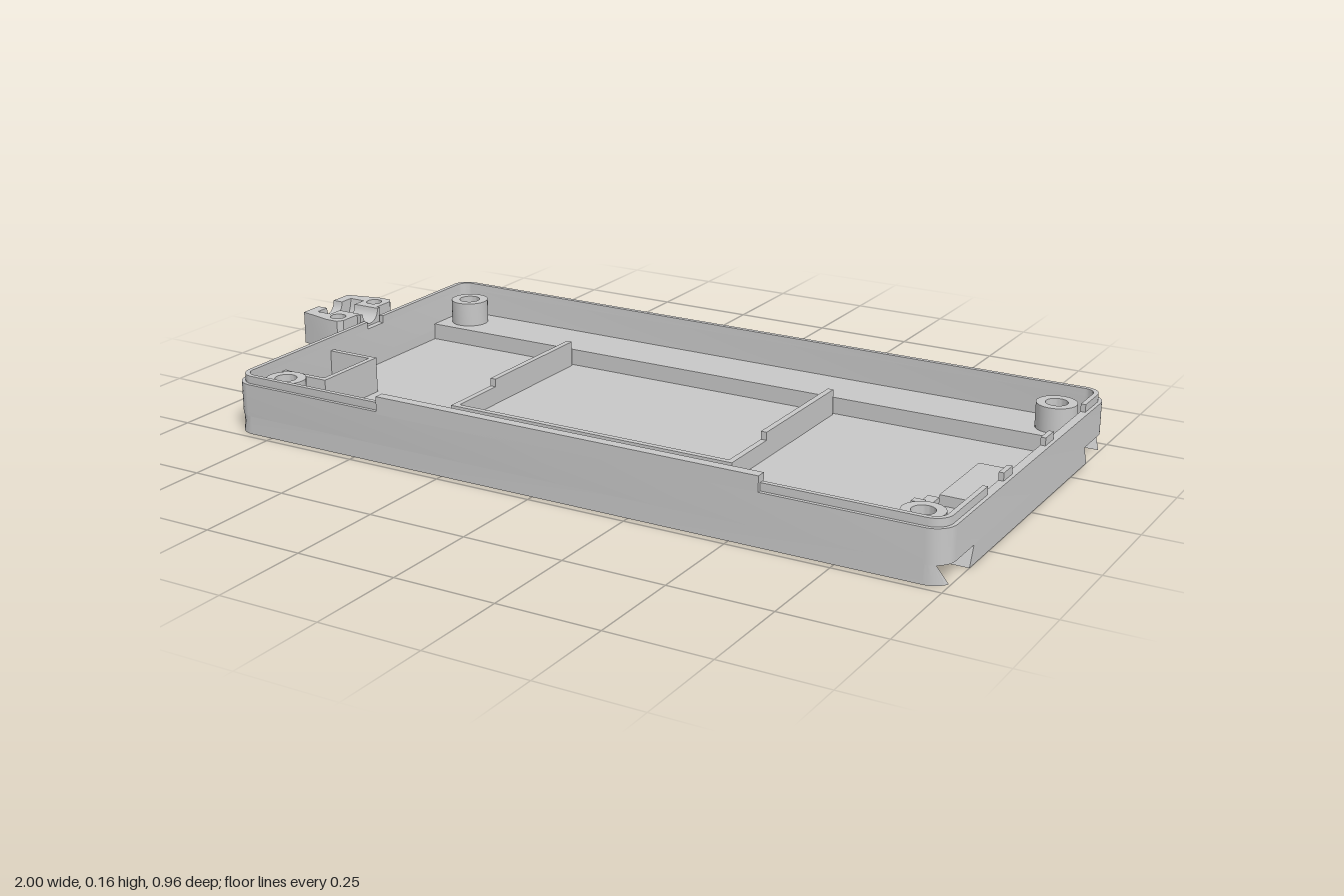
import * as THREE from 'three';
import { toCreasedNormals } from 'three/addons/utils/BufferGeometryUtils.js';

const X0 = -0.86, X1 = 1, CX = 0.07, W = 0.93, D = 0.482, R = 0.05;

export function createModel() {
  const root = new THREE.Group();
  const grey = new THREE.MeshStandardMaterial({ color: 0xc8c8c8 });
  grey.name = 'plasticGrey';

  const add = (name, geo, parent = root) => {
    const m = new THREE.Mesh(geo, grey);
    m.name = name;
    parent.add(m);
    return m;
  };
  const box = (name, x0, x1, y0, y1, z0, z1, parent) =>
    add(name, new THREE.BoxGeometry(x1 - x0, y1 - y0, z1 - z0)
      .translate((x0 + x1) / 2, (y0 + y1) / 2, (z0 + z1) / 2), parent);
  const v2 = ([x, z]) => new THREE.Vector2(x, -z);
  // Plan outline [x, z] pulled up from y0 to y1; holes wind against the outline
  const plan = (name, pts, holes, y0, y1, parent) => {
    const s = new THREE.Shape(pts.map(v2));
    s.holes = holes.map(h => new THREE.Path(h.map(v2).reverse()));
    const g = new THREE.ExtrudeGeometry(s, { depth: y1 - y0, bevelEnabled: false });
    return add(name, toCreasedNormals(g.rotateX(-Math.PI / 2).translate(0, y0, 0), 0.6), parent);
  };
  // Side profile [z, y] swept along x
  const sweep = (name, pts, x0, x1, parent) => {
    const s = new THREE.Shape(pts.map(([z, y]) => new THREE.Vector2(-z, y)));
    const g = new THREE.ExtrudeGeometry(s, { depth: x1 - x0, bevelEnabled: false });
    return add(name, toCreasedNormals(g.rotateY(Math.PI / 2).translate(x0, 0, 0), 0.6), parent);
  };
  const circle = (x, z, r, n = 28) => Array.from({ length: n }, (_, i) => {
    const a = i / n * Math.PI * 2;
    return [x + r * Math.cos(a), z + r * Math.sin(a)];
  });
  const rect = (x0, x1, z0, z1) => [[x0, z0], [x1, z0], [x1, z1], [x0, z1]];
  // Corners first..last of the rounded outline: 0 right front, 1 left front, 2 left back, 3 right back
  const corners = (inset, first, last) => {
    const pts = [];
    for (let c = first; c <= last; c++) {
      const sx = c === 0 || c === 3 ? 1 : -1, sz = c < 2 ? 1 : -1;
      for (let i = 0; i <= 8; i++) {
        const a = (c + i / 8) * Math.PI / 2;
        pts.push([CX + sx * (W - R) + (R - inset) * Math.cos(a), sz * (D - R) + (R - inset) * Math.sin(a)]);
      }
    }
    return pts;
  };

  // Outer wall and base
  plan('outerWall', corners(0, 0, 3), [corners(0.021, 0, 3)], 0.045, 0.126);
  plan('floor', rect(X0, X1, -0.335, 0.335), [rect(0.855, 0.89, -0.07, 0.1)], 0, 0.02);
  box('leftEndSill', X0, X0 + 0.021, 0.02, 0.046, -0.335, 0.335);
  box('rightEndSill', X1 - 0.021, X1, 0.02, 0.046, -0.335, 0.335);

  // Dovetail rails along both long sides
  const lipGeometry = () => {
    const n = 6, pos = [], idx = [], per = 2 * (n + 1);
    for (const [y, zi] of [[0, 0.453], [0.045, 0.475]]) {
      const a0 = Math.asin((zi - D + R) / R);
      for (let k = 0; k < per; k++) {
        const right = k <= n, t = right ? k / n : (per - 1 - k) / n;
        const a = a0 + (Math.PI / 2 - a0) * t;
        pos.push((right ? 1 : -1) * (W - R + R * Math.cos(a)), y, D - R + R * Math.sin(a));
      }
    }
    for (let k = 0; k < per; k++) {
      const j = (k + 1) % per;
      idx.push(k, k + per, j, j, k + per, j + per);
      if (k > 0 && k < per - 1) idx.push(0, k, k + 1, per, per + k + 1, per + k);
    }
    const g = new THREE.BufferGeometry();
    g.setAttribute('position', new THREE.Float32BufferAttribute(pos, 3));
    g.setIndex(idx);
    return toCreasedNormals(g, 0.5);
  };
  for (const side of [0, 1]) {
    const rail = new THREE.Group();
    rail.name = side ? 'backRail' : 'frontRail';
    rail.position.x = CX;
    rail.rotation.y = side * Math.PI;
    root.add(rail);
    sweep('railInnerEdge', [[0.318, 0], [0.355, 0], [0.335, 0.046], [0.318, 0.046]], -W, W, rail);
    box('railRoof', -W + 0.015, W - 0.015, 0.045, 0.062, 0.318, 0.467, rail);
    add('railOuterEdge', lipGeometry(), rail);
  }

  // Rim with gaps for the cable and the ports
  const rim = (name, first, last, xa, za, xb, zb) => {
    const line = d => [[xa(d), za], ...corners(d, first, last), [xb(d), zb]];
    plan(name, [...line(0.009), ...line(0.021).reverse()], [], 0.126, 0.145);
  };
  const rightX = d => X1 - d, leftX = d => X0 + d;
  rim('frontRim', 0, 1, rightX, 0.25, leftX, -0.024);
  rim('backRim', 2, 3, leftX, -0.09, rightX, -0.35);
  for (const [z0, z1] of [[-0.14, -0.09], [0.11, 0.16]]) {
    box('portRim', X1 - 0.021, X1 - 0.009, 0.126, 0.145, z0, z1);
  }
  box('raisedFrontWall', -0.43, 0.57, 0.12, 0.163, 0.457, D);

  // Screw posts
  for (const x of [-0.772, 0.907]) for (const z of [-0.391, 0.391]) {
    plan('screwPost', circle(x, z, 0.049), [circle(x, z, 0.027)], 0.06, 0.124);
  }

  // Board cradle
  for (const x of [-0.408, 0.35]) {
    box('cradleSideBack', x, x + 0.015, 0.02, 0.085, -0.31, 0.045);
    box('cradleSideFront', x, x + 0.015, 0.02, 0.065, 0.045, 0.2);
  }
  box('cradleFront', -0.408, 0.365, 0.02, 0.065, 0.2, 0.215);

  // Corner compartment
  box('compartmentBack', -0.842, -0.705, 0.02, 0.11, 0.118, 0.132);
  box('compartmentFront', -0.842, -0.705, 0.02, 0.11, 0.311, 0.325);
  box('compartmentSide', -0.719, -0.705, 0.02, 0.11, 0.13, 0.314);

  // Port platform and small stepped bracket
  box('portPlatform', 0.826, 0.98, 0.02, 0.045, -0.118, 0.11);
  sweep('bracket', [[0.16, 0.02], [0.18, 0.02], [0.18, 0.045], [0.235, 0.045], [0.235, 0.02],
    [0.255, 0.02], [0.255, 0.08], [0.235, 0.08], [0.235, 0.06], [0.16, 0.06]], 0.82, 0.847);

  // Cable clamp outside the left wall, with a deep slot for a tie
  const clamp = new THREE.Group();
  clamp.name = 'cableClamp';
  root.add(clamp);
  const mid = -0.057;
  for (const s of [1, -1]) {
    const ear = [[-1, 0.042], [-1, 0.092], [-0.91, 0.114], [-0.875, 0.114], [-0.865, 0.1], [-0.865, 0.042],
      [-0.93, 0.042], [-0.93, 0.072], [-0.972, 0.072], [-0.972, 0.042]]
      .map(([x, z]) => [x, mid + s * z]);
    plan('clampEar', ear, [circle(-0.9, mid + s * 0.077, 0.02)], 0.08, 0.163, clamp);
  }
  const groove = (name, r, half, x0, x1) => {
    const arc = Array.from({ length: 13 }, (_, i) => {
      const a = i / 12 * Math.PI;
      return [mid + r * Math.cos(a), 0.163 - r * Math.sin(a)];
    });
    sweep(name, [[mid - half, 0.08], [mid + half, 0.08], [mid + half, 0.163], ...arc,
      [mid - half, 0.163]], x0, x1, clamp);
  };
  groove('clampOuterSaddle', 0.032, 0.042, -1, -0.972);
  groove('clampTieSlot', 0.07, 0.072, -0.972, -0.93);
  groove('clampInnerSaddle', 0.032, 0.042, -0.93, -0.855);

  return root;
}
